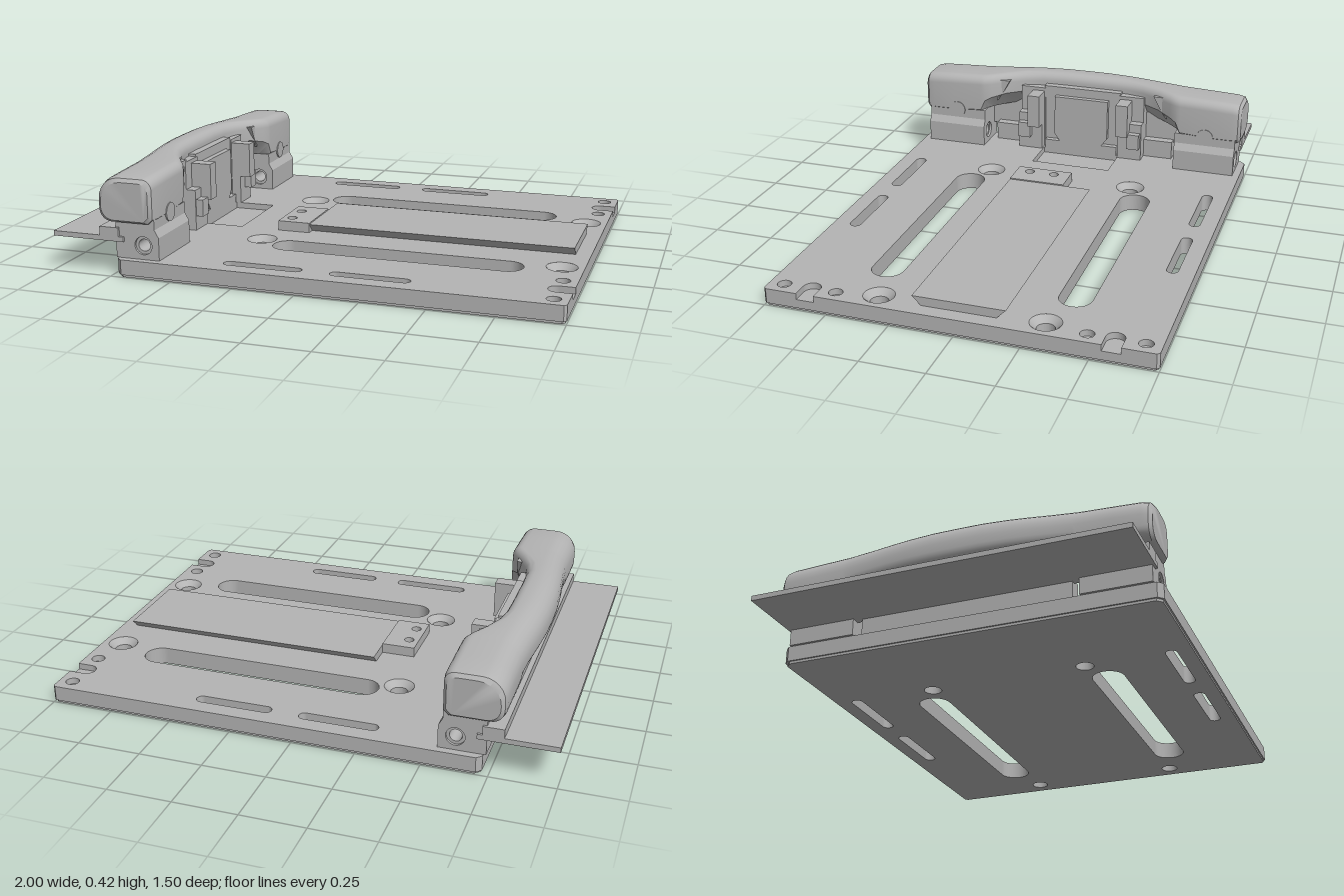
import * as THREE from 'three';
import { toCreasedNormals } from 'three/addons/utils/BufferGeometryUtils.js';

export function createModel() {
  const model = new THREE.Group();
  const grey = new THREE.MeshStandardMaterial({ color: 0xb4b4b4 });
  grey.name = 'satin grey';

  const add = (name, geometry) => {
    const mesh = new THREE.Mesh(geometry, grey);
    mesh.name = name;
    model.add(mesh);
    return mesh;
  };
  // Box given by its limits on each axis
  const box = (name, x0, x1, y0, y1, z0, z1) => {
    const g = new THREE.BoxGeometry(x1 - x0, y1 - y0, z1 - z0);
    g.translate((x0 + x1) / 2, (y0 + y1) / 2, (z0 + z1) / 2);
    return add(name, g);
  };
  const circle = (x, y, r) => new THREE.Path().absarc(x, y, r, 0, Math.PI * 2, true);
  const rect = (x0, x1, y0, y1) => new THREE.Path([[x0, y0], [x0, y1], [x1, y1], [x1, y0]]
    .map(p => new THREE.Vector2(...p)));
  const slot = (x0, x1, y, r) => {
    const p = new THREE.Path();
    p.absarc(x0 + r, y, r, Math.PI / 2, Math.PI * 1.5, false);
    p.absarc(x1 - r, y, r, -Math.PI / 2, Math.PI / 2, false);
    p.closePath();
    return p;
  };
  const extrude = (shape, depth) =>
    new THREE.ExtrudeGeometry(shape, { depth, bevelEnabled: false, curveSegments: 20 });

  // Base plate outline, with optional U notches in the right edge
  const outline = (inset, notched) => {
    const x0 = -0.725 + inset, x1 = 1 - inset, z = 0.75 - inset, s = new THREE.Shape();
    s.moveTo(x0, -z + 0.02).lineTo(x0 + 0.02, -z).lineTo(x1 - 0.01, -z).lineTo(x1, -z + 0.01);
    if (notched) for (const c of [-0.58, 0.58]) {
      s.lineTo(x1, c - 0.035).lineTo(0.94, c - 0.035);
      s.absarc(0.94, c, 0.035, -Math.PI / 2, Math.PI / 2, true);
      s.lineTo(x1, c + 0.035);
    }
    s.lineTo(x1, z - 0.01).lineTo(x1 - 0.01, z).lineTo(x0 + 0.02, z).lineTo(x0, z - 0.02);
    s.closePath();
    return s;
  };
  const layer = (name, y0, y1, inset, upper) => {
    const s = outline(inset, upper);
    for (const m of [-1, 1]) {
      s.holes.push(slot(-0.225, 0.78, m * 0.372, 0.064));
      s.holes.push(slot(-0.315, 0, m * 0.66, 0.023), slot(0.11, 0.42, m * 0.66, 0.023));
      for (const x of [-0.295, 0.915]) s.holes.push(circle(x, m * 0.32, upper ? 0.06 : 0.035));
      if (upper) for (const z of [0.48, 0.69]) s.holes.push(circle(0.945, m * z, 0.027));
    }
    if (upper) s.holes.push(rect(-0.62, -0.445, -0.175, 0.18));
    add(name, extrude(s, y1 - y0).rotateX(-Math.PI / 2).translate(0, y0, 0));
  };
  layer('basePlateBottomEdge', 0, 0.01, 0.006, false);
  layer('basePlateCore', 0.01, 0.045, 0, false);
  layer('basePlateTop', 0.045, 0.07, 0, true);

  // Conical seats of the four screw holes
  for (const x of [-0.295, 0.915]) for (const z of [-0.32, 0.32]) {
    const seat = [[0.035, 0.045], [0.06, 0.07]].map(p => new THREE.Vector2(...p));
    const g = new THREE.LatheGeometry(seat.reverse(), 32);
    add('countersink', g.translate(x, 0, z));
  }

  // Dovetail rail, wider at the top than at the foot
  const rail = new THREE.Shape([[-0.145, 0.07], [0.145, 0.07], [0.18, 0.105], [-0.18, 0.105]]
    .map(p => new THREE.Vector2(...p)));
  add('dovetailRail', extrude(rail, 1.085).rotateY(Math.PI / 2).translate(-0.145, 0, 0));
  // Rail stop with two screw holes
  const stop = new THREE.Shape([[-0.28, -0.18], [-0.145, -0.18], [-0.145, 0.06], [-0.28, 0.06]]
    .map(p => new THREE.Vector2(...p)));
  stop.holes.push(circle(-0.24, -0.01, 0.02), circle(-0.24, -0.12, 0.02));
  add('railStop', extrude(stop, 0.04).rotateX(-Math.PI / 2).translate(0, 0.07, 0));

  // Thin release blade and the bar that carries it
  box('releaseBlade', -1, -0.7, 0.135, 0.155, -0.73, 0.73);
  box('bladeBar', -0.8, -0.72, 0.15, 0.19, -0.73, 0.73);
  box('backWall', -0.78, -0.7, 0.15, 0.27, -0.5, 0.5);
  box('crossBar', -0.72, -0.66, 0.07, 0.15, -0.42, 0.42);

  // Handle: cross-sections [z, left, right, bottom, top, underside chamfer]
  const half = [
    [0, -0.83, -0.68, 0.25, 0.416, 0.075], [0.1, -0.829, -0.68, 0.25, 0.416, 0.075],
    [0.2, -0.823, -0.677, 0.25, 0.414, 0.075], [0.28, -0.816, -0.66, 0.248, 0.411, 0.075],
    [0.36, -0.808, -0.622, 0.245, 0.407, 0.07], [0.42, -0.804, -0.585, 0.24, 0.404, 0.06],
    [0.45, -0.802, -0.572, 0.235, 0.402, 0.05], [0.47, -0.801, -0.57, 0.215, 0.401, 0.025],
    [0.6, -0.8, -0.57, 0.21, 0.396, 0.02], [0.7, -0.8, -0.57, 0.21, 0.391, 0.02],
    [0.728, -0.796, -0.574, 0.213, 0.386, 0.02], [0.74, -0.784, -0.586, 0.222, 0.372, 0.02],
  ];
  const sections = [...half.slice(1).reverse().map(([z, ...r]) => [-z, ...r]), ...half];
  const ring = ([z, l, r, b, t, c]) => {
    const pts = [[r - c, b, z], [r, b + c, z]];
    const arc = (cx, cy, rad, a0) => {
      for (let i = 0; i <= 6; i++) {
        const a = a0 + (i / 6) * Math.PI / 2;
        pts.push([cx + rad * Math.cos(a), cy + rad * Math.sin(a), z]);
      }
    };
    arc(r - 0.04, t - 0.04, 0.04, 0);
    arc(l + 0.085, t - 0.085, 0.085, Math.PI / 2);
    arc(l + 0.05, b + 0.05, 0.05, Math.PI);
    return pts;
  };
  const rings = sections.map(ring), n = rings[0].length, index = [];
  const position = rings.flat(2);
  for (let s = 0; s < rings.length - 1; s++) for (let i = 0; i < n; i++) {
    const a = s * n + i, b = s * n + (i + 1) % n;
    index.push(a, b, b + n, a, b + n, a + n);
  }
  const last = (rings.length - 1) * n;
  for (let i = 1; i < n - 1; i++) index.push(0, i + 1, i, last, last + i, last + i + 1);
  const handle = new THREE.BufferGeometry();
  handle.setAttribute('position', new THREE.Float32BufferAttribute(position, 3));
  handle.setIndex(index);
  add('handle', toCreasedNormals(handle, 0.6));

  // Pivot blocks under both handle ends, bored along z
  for (const m of [-1, 1]) {
    const s = new THREE.Shape([[-0.735, 0.07], [-0.555, 0.07], [-0.555, 0.16], [-0.572, 0.19],
      [-0.572, 0.235], [-0.735, 0.235]].map(p => new THREE.Vector2(...p)));
    s.holes.push(circle(-0.62, 0.125, 0.036));
    add('pivotBlock', extrude(s, 0.27).translate(0, 0, m * 0.585 - 0.135));
    const sleeve = new THREE.Shape().absarc(-0.62, 0.125, 0.036, 0, Math.PI * 2);
    sleeve.holes.push(circle(-0.62, 0.125, 0.024));
    add('pivotSleeve', extrude(sleeve, 0.25).translate(0, 0, m * 0.585 - 0.125));
    const pin = new THREE.CylinderGeometry(0.037, 0.037, 0.03, 28).rotateZ(Math.PI / 2);
    add('facePin', pin.translate(-0.581, 0.23, m * 0.585));

    // Latch guides and hooks beside the central panel
    const sided = (name, x0, x1, y0, y1, z0, z1) =>
      box(name, x0, x1, y0, y1, m > 0 ? z0 : -z1, m > 0 ? z1 : -z0);
    sided('latchGuide', -0.72, -0.64, 0.07, 0.355, 0.175, 0.29);
    sided('guidePost', -0.66, -0.555, 0.19, 0.34, 0.18, 0.235);
    sided('guideFoot', -0.655, -0.6, 0.07, 0.24, 0.18, 0.29);
    sided('guidePin', -0.61, -0.57, 0.13, 0.2, 0.23, 0.285);
    const hook = new THREE.Shape([[-0.42, 0.38], [-0.4, 0.28], [-0.37, 0.325], [-0.34, 0.38]]
      .map(p => new THREE.Vector2(m * p[0], p[1])));
    add('hook', extrude(hook, 0.04).rotateY(Math.PI / 2).translate(-0.65, 0, 0));
  }

  // Central latch panel with its raised, chamfered face
  box('latchPanel', -0.72, -0.645, 0.07, 0.365, -0.18, 0.18);
  const face = new THREE.Shape([[-0.1, 0.11], [0.1, 0.11], [0.125, 0.145], [0.125, 0.325],
    [-0.125, 0.325], [-0.125, 0.145]].map(p => new THREE.Vector2(...p)));
  add('latchFace', extrude(face, 0.04).rotateY(Math.PI / 2).translate(-0.66, 0, 0));
  box('latchFoot', -0.66, -0.62, 0.045, 0.11, -0.17, 0.17);

  return model;
}
